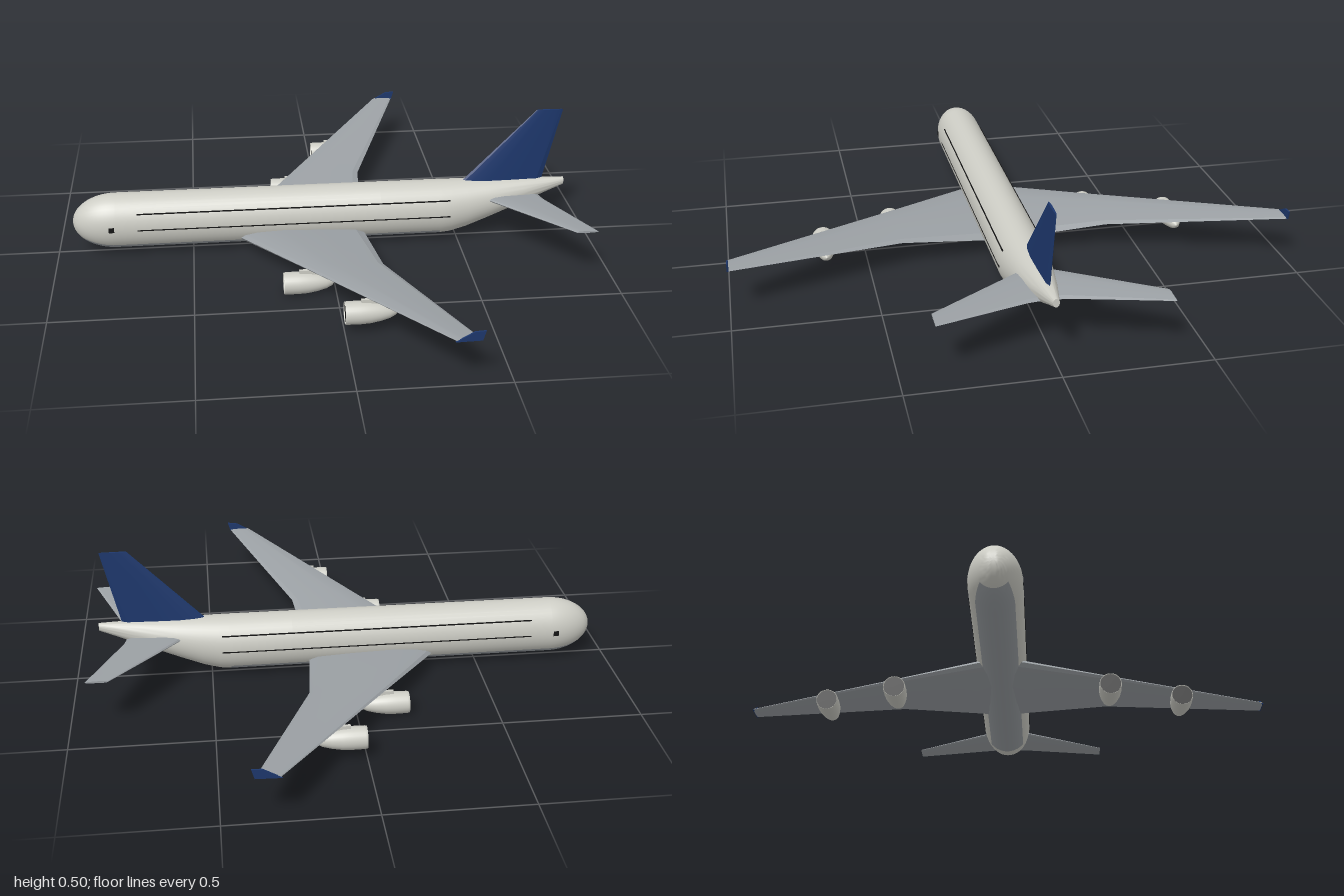
import * as THREE from 'three';
import { toCreasedNormals } from 'three/addons/utils/BufferGeometryUtils.js';

const paint = (name, color) => {
  const m = new THREE.MeshStandardMaterial({ color });
  m.name = name;
  return m;
};

// Skins a list of equal-length rings of points, caps both ends and faces it outward.
// isSecond(ring, side) picks the quads that take the second material.
function loft(rings, crease, isSecond = () => false) {
  const n = rings[0].length, verts = rings.flat(), first = [], second = [];
  for (let r = 0; r < rings.length - 1; r++) {
    for (let i = 0; i < n; i++) {
      const a = r * n + i, b = r * n + (i + 1) % n;
      (isSecond(r, i) ? second : first).push(a, b, a + n, b, b + n, a + n);
    }
  }
  const last = (rings.length - 1) * n;
  for (let i = 1; i < n - 1; i++) first.push(0, i + 1, i, last, last + i, last + i + 1);
  const index = [...first, ...second];
  let volume = 0;
  for (let i = 0; i < index.length; i += 3) {
    const [a, b, c] = [0, 1, 2].map(k => verts[index[i + k]]);
    volume += a.dot(b.clone().cross(c));
  }
  if (volume < 0) for (let i = 0; i < index.length; i += 3) [index[i], index[i + 1]] = [index[i + 1], index[i]];
  const g = new THREE.BufferGeometry().setFromPoints(verts);
  g.setIndex(index);
  const skin = toCreasedNormals(g, crease);
  skin.clearGroups();
  skin.addGroup(0, first.length, 0);
  if (second.length) skin.addGroup(first.length, second.length, 1);
  return skin;
}

// Half of a wing section: chord fraction and thickness fraction
const FOIL = [[0, 0], [0.03, 0.45], [0.12, 0.8], [0.32, 1], [0.65, 0.8], [0.93, 0.5], [1, 0]];
const foilRing = (lead, trail, thick, place) => {
  const upper = FOIL.map(([f, t]) => [lead + f * (trail - lead), t * thick]);
  const lower = upper.slice(1, -1).reverse().map(([x, t]) => [x, -t]);
  return [...upper, ...lower].map(([x, t]) => place(x, t));
};

// Wing-like surface from stations [leading x, trailing x, y, z, half thickness]
const surface = (stations, side) => loft(stations.map(([lead, trail, y, z, thick]) =>
  foilRing(lead, trail, thick, (x, t) => new THREE.Vector3(x, y + t, z * side))), 0.25);

export function createModel() {
  const white = paint('warm white', 0xcdcdc5);
  const grey = paint('wing grey', 0x9ca1a5);
  const blue = paint('tail blue', 0x1d376c);
  const black = paint('window black', 0x141414);
  const model = new THREE.Group();
  model.name = 'airliner';
  const add = (parent, name, geometry, material) => {
    const mesh = new THREE.Mesh(geometry, material);
    mesh.name = name;
    parent.add(mesh);
    return mesh;
  };

  // Fuselage: rounded nose, straight barrel, upswept tail; [x, bottom, top, half width]
  const spans = [];
  for (let i = 0; i <= 16; i++) {
    const a = (i / 16) * Math.PI / 2, s = Math.max(Math.sin(a), 0.001);
    spans.push([-0.78 - 0.16 * Math.cos(a), 0.125 - 0.105 * s, 0.23 - 0.105 * (1 - s), 0.088 * s]);
  }
  spans.push([0.2, 0.02, 0.23, 0.088], [0.43, 0.02, 0.23, 0.088], [0.47, 0.024, 0.23, 0.085],
    [0.53, 0.041, 0.23, 0.079], [0.62, 0.077, 0.229, 0.067], [0.75, 0.131, 0.228, 0.044],
    [0.85, 0.173, 0.226, 0.023], [0.905, 0.195, 0.225, 0.011]);
  const hull = spans.map(([x, lo, hi, w]) => Array.from({ length: 40 }, (_, i) => {
    const a = (i / 40) * Math.PI * 2;
    return new THREE.Vector3(x, (lo + hi) / 2 + Math.sin(a) * (hi - lo) / 2, Math.cos(a) * w);
  }));
  // Grey belly under the nose and barrel
  const belly = (r, i) => spans[r][0] > -0.9 && spans[r][0] < 0.43 && i >= 25 && i < 35;
  add(model, 'fuselage', loft(hull, 0.6, belly), [white, grey]);

  // Tail fin
  const fin = [[0.47, 0.81, 0.18, 0.017], [0.52, 0.822, 0.23, 0.015], [0.785, 0.884, 0.503, 0.004]];
  add(model, 'tailFin', loft(fin.map(([lead, trail, y, thick]) =>
    foilRing(lead, trail, thick, (x, t) => new THREE.Vector3(x, y, t))), 0.25), blue);

  // Upturned wing tip outline
  const tip = new THREE.Shape([[0.305, 0.16], [0.365, 0.194], [0.4, 0.196], [0.39, 0.162]]
    .map(([x, y]) => new THREE.Vector2(x, y)));

  for (const side of [1, -1]) {
    const half = new THREE.Group();
    half.name = side > 0 ? 'nearSide' : 'farSide';
    model.add(half);

    // Wing with a kinked trailing edge, and tailplane
    add(half, 'wing', surface([
      [-0.37, 0.133, 0.054, 0, 0.03], [-0.31, 0.14, 0.066, 0.09, 0.028],
      [-0.112, 0.167, 0.098, 0.38, 0.015], [0.308, 0.39, 0.164, 0.997, 0.005]], side), grey);
    add(half, 'tailplane', surface([
      [0.55, 0.8, 0.165, 0, 0.013], [0.615, 0.815, 0.169, 0.07, 0.012],
      [0.855, 0.935, 0.19, 0.385, 0.004]], side), grey);

    // Winglet
    const winglet = add(half, 'winglet',
      new THREE.ExtrudeGeometry(tip, { depth: 0.006, bevelEnabled: false }), blue);
    winglet.position.z = side > 0 ? 0.994 : -1;

    // Window rows, upper and lower deck, nearly flush with the hull
    for (const [y, z] of [[0.18, 0.0745], [0.12, 0.0865]]) {
      const row = add(half, 'windowRow', new THREE.BoxGeometry(1.16, 0.004, 0.005), black);
      row.position.set(-0.12, y, z * side);
    }
    const cockpit = add(half, 'cockpitWindow', new THREE.BoxGeometry(0.02, 0.02, 0.004), black);
    cockpit.position.set(-0.795, 0.125, 0.0862 * side);

    // Engines under the wing, each with a dark intake and a pylon
    for (const [x, y, z] of [[-0.185, 0.04, 0.383], [0, 0.072, 0.653]]) {
      const engine = new THREE.Group();
      engine.name = 'engine';
      engine.position.set(x, y, z * side);
      half.add(engine);
      const profile = [[0.036, 0.01], [0.037, 0.001], [0.0385, 0], [0.0395, 0.008], [0.04, 0.05], [0.038, 0.085],
        [0.032, 0.12], [0.024, 0.15], [0.013, 0.172], [0, 0.18]].map(([r, l]) => new THREE.Vector2(r, l));
      add(engine, 'nacelle', new THREE.LatheGeometry(profile, 28).rotateZ(-Math.PI / 2), white);
      const intake = add(engine, 'intake', new THREE.CircleGeometry(0.037, 28).rotateY(-Math.PI / 2), black);
      intake.position.x = 0.004;
      const pylon = add(engine, 'pylon', new THREE.BoxGeometry(0.11, 0.04, 0.012), white);
      pylon.position.set(0.11, 0.03, 0);
    }
  }
  return model;
}
